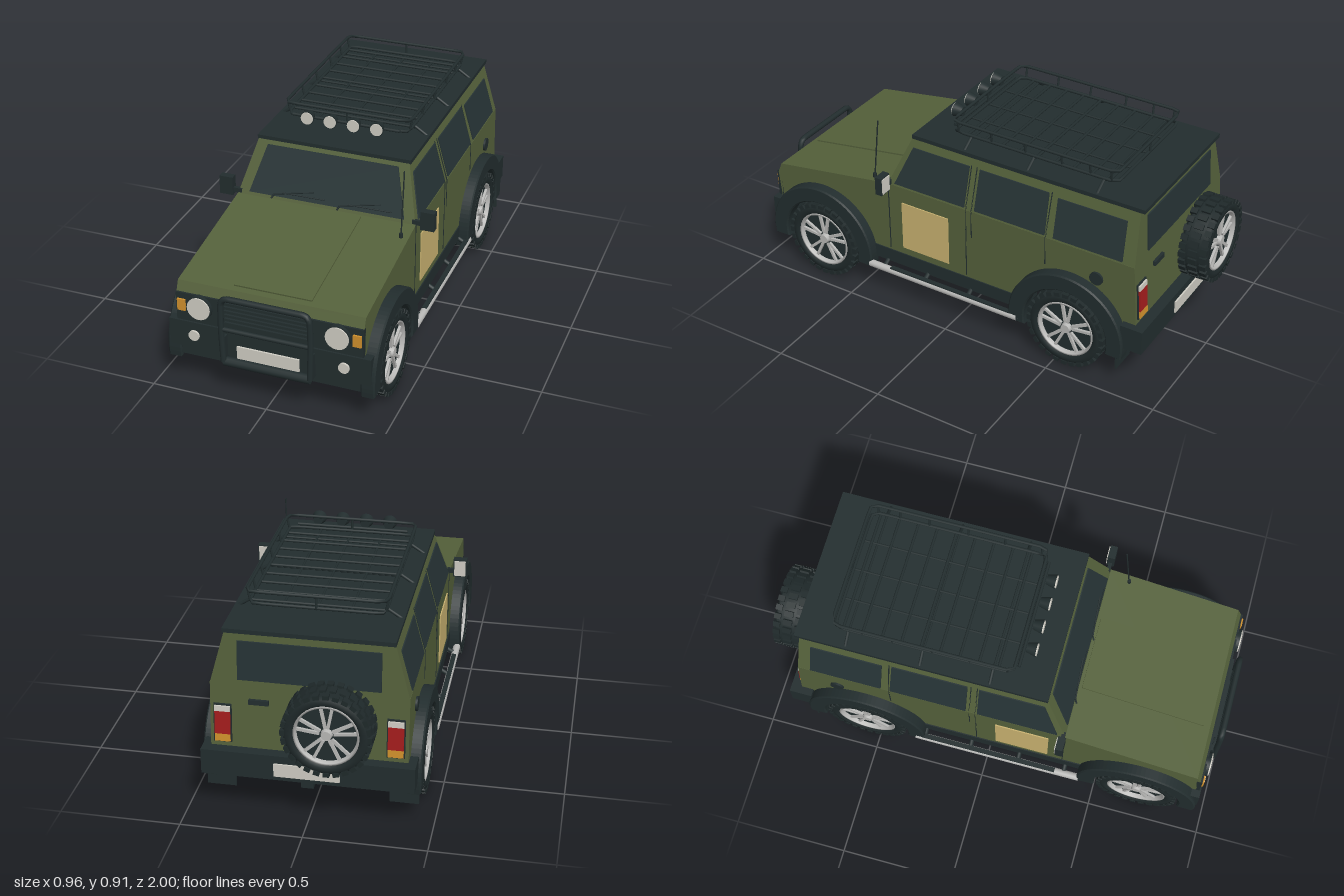
import * as THREE from 'three';
import { ConvexGeometry } from 'three/addons/geometries/ConvexGeometry.js';

const mat = (name, color, side = THREE.FrontSide) => {
  const m = new THREE.MeshStandardMaterial({ color, side });
  m.name = name;
  return m;
};
const V = (x, y, z) => new THREE.Vector3(x, y, z);

export function createModel() {
  const green = mat('olive paint', 0x55613b), dark = mat('dark trim', 0x222d2e);
  const glass = mat('tinted glass', 0x263335), tan = mat('tan panel', 0xc9b270);
  const white = mat('lamp white', 0xcfccc3), silver = mat('silver metal', 0xb8b8b6);
  const orange = mat('indicator orange', 0xd0902c), red = mat('tail light red', 0xa31c1c);
  const rubber = mat('tyre rubber', 0x1f292a);

  const model = new THREE.Group();
  model.name = 'offRoadCar';
  const add = (name, geo, m, parent = model) => {
    const mesh = new THREE.Mesh(geo, m);
    mesh.name = name;
    parent.add(mesh);
    return mesh;
  };
  // box given by its lower and upper limits
  const box = (name, m, x0, x1, y0, y1, z0, z1, parent) =>
    add(name, new THREE.BoxGeometry(x1 - x0, y1 - y0, z1 - z0)
      .translate((x0 + x1) / 2, (y0 + y1) / 2, (z0 + z1) / 2), m, parent);
  // round bar between two points
  const rod = (name, m, a, b, r, parent, seg = 8) => {
    const mesh = add(name, new THREE.CylinderGeometry(r, r, a.distanceTo(b), seg), m, parent);
    mesh.position.copy(a).add(b).multiplyScalar(0.5);
    mesh.quaternion.setFromUnitVectors(V(0, 1, 0), b.clone().sub(a).normalize());
    return mesh;
  };
  const tube = (name, m, pts, r, closed = false) =>
    add(name, new THREE.TubeGeometry(new THREE.CatmullRomCurve3(pts, closed, 'catmullrom', 0.15), 64, r, 8, closed), m);
  // disc or drum facing +z
  const drum = (name, m, x, y, z, r, depth, parent) =>
    add(name, new THREE.CylinderGeometry(r, r, depth, 28).rotateX(Math.PI / 2).translate(x, y, z), m, parent);
  const poly = pts => new THREE.Shape(pts.map(p => new THREE.Vector2(p[0], p[1])));
  const slab = (pts, t) => new THREE.ExtrudeGeometry(poly(pts), { depth: t, bevelEnabled: false });
  const shift = (geo, f) => {
    const p = geo.attributes.position;
    for (let i = 0; i < p.count; i++) {
      const [dx, dz] = f(p.getY(i));
      p.setX(i, p.getX(i) + dx);
      p.setZ(i, p.getZ(i) + dz);
    }
    geo.computeVertexNormals();
    return geo;
  };

  // surface rules of the cabin walls
  const sideX = y => 0.397 - Math.max(0, y - 0.58) * 0.276;
  const frontZ = y => 0.345 - (y - 0.58) * 0.422;
  const backZ = y => -0.858 + (y - 0.24) * 0.067;
  const sidePanel = (name, m, pts, s, t = 0.005) => add(name,
    shift(slab(pts.map(([z, y]) => [-s * z, y]), t).rotateY(s * Math.PI / 2), y => [s * sideX(y), 0]), m);
  const frontPanel = (name, m, pts, t = 0.005) => add(name, shift(slab(pts, t), y => [0, frontZ(y)]), m);
  const backPanel = (name, m, x0, x1, y0, y1, t = 0.006) => add(name,
    shift(slab([[x0, y0], [x1, y0], [x1, y1], [x0, y1]].map(([x, y]) => [-x, y]), t).rotateY(Math.PI),
      y => [0, backZ(y)]), m);

  // lower body with wheel arches cut out
  const wheelY = 0.185, wheelZ = [0.69, -0.55], a = Math.asin(0.055 / 0.22);
  const prof = poly([[0.93, 0.24], [0.948, 0.44], [0.928, 0.488], [0.345, 0.58], [-0.835, 0.58], [-0.858, 0.24]]);
  prof.absarc(wheelZ[1], wheelY, 0.22, Math.PI - a, a, true);
  prof.absarc(wheelZ[0], wheelY, 0.22, Math.PI - a, a, true);
  add('lowerBody', new THREE.ExtrudeGeometry(prof, { depth: 0.794, bevelEnabled: false, curveSegments: 20 })
    .rotateY(-Math.PI / 2).translate(0.397, 0, 0), green);
  box('floor', green, -0.29, 0.29, 0.235, 0.42, -0.84, 0.9);

  // cabin, roof and bonnet
  const cabin = [];
  for (const s of [-1, 1]) for (const y of [0.575, 0.805])
    cabin.push(V(s * sideX(y), y, frontZ(y)), V(s * sideX(y), y, backZ(y)));
  add('cabin', new ConvexGeometry(cabin), green);
  box('roof', dark, -0.34, 0.34, 0.803, 0.821, -0.84, 0.25);
  const bonnet = box('bonnetPanel', green, -0.165, 0.165, -0.004, 0.006, -0.28, 0.27);
  bonnet.position.set(0, 0.535, 0.635);
  bonnet.rotation.x = 0.157;
  frontPanel('windscreen', glass, [[-0.345, 0.595], [0.345, 0.595], [0.29, 0.788], [-0.29, 0.788]]);
  for (const x of [-0.24, 0.055]) {
    const w = (dx, y) => V(x + dx, y, frontZ(y) + 0.012);
    rod('wiperArm', dark, w(0, 0.588), w(0.01, 0.606), 0.004);
    rod('wiperArm', dark, w(0.01, 0.606), w(0.185, 0.638), 0.003);
    rod('wiperBlade', dark, w(0.045, 0.616), w(0.235, 0.617), 0.003);
  }
  rod('antennaBase', dark, V(0.365, 0.565, 0.435), V(0.365, 0.585, 0.435), 0.008);
  rod('antenna', dark, V(0.365, 0.57, 0.435), V(0.365, 0.853, 0.405), 0.003);

  // wheel with its axle along x, outer face towards +x
  const makeWheel = name => {
    const g = new THREE.Group();
    g.name = name;
    const lathe = pts => new THREE.LatheGeometry(pts.map(p => new THREE.Vector2(p[0], p[1])), 40).rotateZ(-Math.PI / 2);
    add('tyre', lathe([[0.125, -0.05], [0.14, -0.062], [0.16, -0.06], [0.17, -0.048], [0.171, 0.048],
      [0.16, 0.06], [0.14, 0.062], [0.127, 0.05]]), rubber, g);
    for (let i = 0; i < 28; i++) for (const [x, w, o] of [[-0.047, 0.03, 0], [0, 0.04, 0.5], [0.047, 0.03, 0]]) {
      const lug = add('treadLug', new THREE.BoxGeometry(w, 0.018, 0.025).translate(0, 0.171, 0), rubber, g);
      lug.position.x = x;
      lug.rotation.x = (i + o) * Math.PI / 14;
    }
    add('rimDisc', new THREE.CylinderGeometry(0.127, 0.127, 0.07, 36).rotateZ(Math.PI / 2), dark, g);
    add('rimLip', lathe([[0.127, 0.03], [0.13, 0.055], [0.122, 0.055], [0.118, 0.036]]), silver, g);
    add('hub', new THREE.CylinderGeometry(0.02, 0.024, 0.02, 16).rotateZ(-Math.PI / 2).translate(0.045, 0, 0), silver, g);
    for (let i = 0; i < 5; i++) for (const s of [-1, 1]) {
      const spoke = add('spoke', new THREE.BoxGeometry(0.012, 0.09, 0.012).translate(0.04, 0.073, 0), silver, g);
      spoke.rotation.x = i * Math.PI * 0.4 + s * 0.19;
    }
    model.add(g);
    return g;
  };

  // parts that repeat on both sides
  for (const s of [-1, 1]) {
    const mbox = (name, m, x0, x1, ...r) => box(name, m, Math.min(s * x0, s * x1), Math.max(s * x0, s * x1), ...r);
    for (const z of wheelZ) {
      const w = makeWheel(z > 0 ? 'frontWheel' : 'rearWheel');
      w.position.set(s * 0.378, wheelY, z);
      if (s < 0) w.rotation.y = Math.PI;
      const arch = new THREE.Shape();
      arch.absarc(0, 0, 0.263, -0.16, Math.PI + 0.16, false);
      arch.absarc(0, 0, 0.2, Math.PI + 0.2, -0.2, true);
      add('wheelFlare', new THREE.ExtrudeGeometry(arch, {
        depth: 0.048, bevelEnabled: true, bevelSize: 0.006, bevelThickness: 0.006, bevelSegments: 1, curveSegments: 24,
      }).rotateY(Math.PI / 2).translate(s > 0 ? 0.39 : -0.438, wheelY, z), dark);
    }
    sidePanel('frontWindow', glass, [[0.31, 0.59], [-0.04, 0.59], [-0.04, 0.765], [0.24, 0.765]], s);
    sidePanel('rearDoorWindow', glass, [[-0.09, 0.59], [-0.425, 0.59], [-0.418, 0.765], [-0.09, 0.765]], s);
    sidePanel('quarterWindow', glass, [[-0.465, 0.59], [-0.78, 0.59], [-0.772, 0.755], [-0.46, 0.755]], s);
    sidePanel('doorPanel', tan, [[0.275, 0.275], [0.04, 0.275], [0.04, 0.505], [0.275, 0.505]], s);
    for (const [z, y0, y1] of [[0.343, 0.25, 0.58], [-0.048, 0.25, 0.77], [-0.43, 0.45, 0.77], [-0.075, 0.45, 0.77]]) {
      const h = 0.002, seam = [[z + h, y0], [z + h, 0.58], [z + h, y1], [z - h, y1], [z - h, 0.58], [z - h, y0]];
      sidePanel('doorSeam', dark, y1 === 0.58 ? [seam[0], seam[1], seam[4], seam[5]] : seam, s, 0.002);
    }
    add('fuelCap', new THREE.CylinderGeometry(0.03, 0.03, 0.012, 20).rotateZ(Math.PI / 2)
      .translate(s * 0.4, 0.47, -0.67), dark);
    mbox('sill', dark, 0.3, 0.402, 0.178, 0.24, -0.34, 0.48);

    // side step
    rod('stepBar', silver, V(s * 0.435, 0.157, 0.43), V(s * 0.435, 0.157, -0.32), 0.016, model, 14);
    rod('stepEnd', dark, V(s * 0.435, 0.157, -0.32), V(s * 0.4, 0.157, -0.36), 0.014);
    mbox('stepPad', dark, 0.425, 0.445, 0.168, 0.175, -0.29, 0.32);
    for (const z of [0.36, 0.15, -0.07, -0.28])
      rod('stepBracket', dark, V(s * 0.435, 0.157, z), V(s * 0.36, 0.2, z), 0.01);

    // door mirror
    mbox('mirror', dark, 0.418, 0.478, 0.567, 0.65, 0.32, 0.352);
    mbox('mirrorGlass', white, 0.423, 0.473, 0.573, 0.644, 0.316, 0.321);
    mbox('mirrorArm', dark, 0.38, 0.42, 0.58, 0.6, 0.328, 0.344);

    // front lamps
    drum('headlampRing', dark, s * 0.293, 0.395, 0.957, 0.054, 0.02);
    drum('headlamp', white, s * 0.293, 0.395, 0.965, 0.049, 0.016);
    mbox('indicator', orange, 0.355, 0.39, 0.367, 0.419, 0.95, 0.962);
    drum('fogLamp', white, s * 0.32, 0.262, 0.965, 0.023, 0.012);

    // tail lamps
    const [t0, t1] = s > 0 ? [0.315, 0.378] : [-0.378, -0.315];
    backPanel('tailLampHousing', dark, t0 - 0.005, t1 + 0.005, 0.325, 0.49);
    backPanel('tailLampOrange', orange, t0, t1, 0.33, 0.362, 0.013);
    backPanel('tailLampRed', red, t0, t1, 0.362, 0.46, 0.013);
    backPanel('tailLampWhite', white, t0, t1, 0.46, 0.483, 0.013);
    mbox('mudFlap', dark, 0.315, 0.435, 0.08, 0.2, -0.795, -0.787);
    mbox('chassisRail', dark, 0.15, 0.2, 0.185, 0.236, -0.82, 0.88);
  }

  // front end
  box('grillePanel', dark, -0.397, 0.397, 0.31, 0.446, 0.93, 0.954);
  for (let i = 0; i < 6; i++) box('grilleSlat', dark, -0.185, 0.185, 0.345 + i * 0.018, 0.355 + i * 0.018, 0.95, 0.964);
  box('frontBumper', dark, -0.43, 0.43, 0.2, 0.32, 0.895, 0.962);
  box('frontBumperLower', dark, -0.43, 0.43, 0.155, 0.2, 0.905, 0.95);
  box('frontPlate', white, -0.133, 0.133, 0.197, 0.255, 0.962, 0.97);
  tube('bullBar', dark, [V(-0.185, 0.185, 0.985), V(-0.19, 0.33, 0.985), V(-0.188, 0.45, 0.985), V(-0.178, 0.472, 0.985),
    V(-0.155, 0.48, 0.985), V(0.155, 0.48, 0.985), V(0.178, 0.472, 0.985), V(0.188, 0.45, 0.985),
    V(0.19, 0.33, 0.985), V(0.185, 0.185, 0.985)], 0.013);
  rod('bullBarCross', dark, V(-0.188, 0.337, 0.985), V(0.188, 0.337, 0.985), 0.01);
  rod('bullBarLower', dark, V(-0.185, 0.18, 0.975), V(0.185, 0.18, 0.975), 0.02, model, 12);
  for (const x of [-0.187, 0.187]) box('bullBarMount', dark, x - 0.012, x + 0.012, 0.19, 0.3, 0.95, 0.985);

  // rear end
  backPanel('rearWindow', glass, -0.285, 0.285, 0.6, 0.765);
  backPanel('tailgateHandle', dark, 0.16, 0.24, 0.5, 0.52, 0.012);
  box('rearBumper', dark, -0.43, 0.43, 0.195, 0.305, -0.9, -0.8);
  box('rearPlate', white, -0.133, 0.133, 0.215, 0.272, -0.907, -0.899);
  box('towHitch', dark, -0.025, 0.025, 0.165, 0.19, -0.89, -0.78);
  const spare = makeWheel('spareWheel');
  spare.position.set(-0.097, 0.475, -0.937);
  spare.rotation.y = Math.PI / 2;
  box('spareCarrier', dark, -0.15, -0.04, 0.42, 0.53, -0.9, -0.84);

  // roof rack
  const loop = (w, y, z0, z1, c = 0.03) => [[w, z0 + c], [w, z1 - c], [w - c * 0.3, z1 - c * 0.3], [w - c, z1],
    [c - w, z1], [c * 0.3 - w, z1 - c * 0.3], [-w, z1 - c], [-w, z0 + c], [c * 0.3 - w, z0 + c * 0.3], [c - w, z0],
    [w - c, z0], [w - c * 0.3, z0 + c * 0.3]].map(([x, z]) => V(x, y, z));
  tube('rackTopRail', dark, loop(0.28, 0.911, -0.685, 0.088), 0.007, true);
  tube('rackBaseRail', dark, loop(0.27, 0.859, -0.68, 0.083), 0.007, true);
  for (let i = 0; i < 9; i++) rod('rackSlat', dark, V(-0.27, 0.856, 0.02 - i * 0.083), V(0.27, 0.856, 0.02 - i * 0.083), 0.006);
  for (const x of [-0.135, 0, 0.135]) rod('rackRunner', dark, V(x, 0.852, -0.68), V(x, 0.852, 0.083), 0.005);
  for (const s of [-1, 1]) {
    for (const z of [0.06, -0.1, -0.26, -0.43, -0.56, -0.655])
      rod('rackPost', dark, V(s * 0.27, 0.859, z), V(s * 0.28, 0.911, z), 0.005);
    for (const z of [0, -0.3, -0.62]) {
      rod('rackLeg', dark, V(s * 0.27, 0.853, z), V(s * 0.328, 0.815, z), 0.007);
      rod('rackLegBar', dark, V(0, 0.845, z), V(s * 0.282, 0.845, z), 0.005);
    }
  }
  for (const z of [-0.685, 0.088]) rod('rackEndPost', dark, V(0, 0.859, z), V(0, 0.911, z), 0.005);
  rod('lampBar', dark, V(-0.24, 0.866, 0.1), V(0.24, 0.866, 0.1), 0.007);
  for (const x of [-0.155, -0.052, 0.052, 0.155]) {
    add('roofLampBody', new THREE.CylinderGeometry(0.031, 0.02, 0.04, 24).rotateX(Math.PI / 2).translate(x, 0.883, 0.132), dark);
    drum('roofLampLens', white, x, 0.883, 0.154, 0.027, 0.006);
  }

  // underside
  for (const z of wheelZ) rod('axle', dark, V(-0.36, wheelY, z), V(0.36, wheelY, z), 0.022, model, 12);
  add('frontDifferential', new THREE.SphereGeometry(0.05, 16, 12).translate(-0.115, 0.182, 0.69), dark);
  add('rearDifferential', new THREE.SphereGeometry(0.05, 16, 12).translate(-0.05, 0.185, -0.55), dark);
  box('differentialGuard', dark, 0, 0.09, 0.122, 0.2, 0.58, 0.68);
  box('transferCase', dark, -0.14, 0.14, 0.185, 0.24, -0.15, 0.2);
  for (const z of [0.8, 0.45, -0.35, -0.75]) box('crossMember', dark, -0.17, 0.17, 0.2, 0.235, z - 0.025, z + 0.025);
  rod('frontDriveShaft', dark, V(-0.115, 0.185, 0.69), V(-0.05, 0.2, 0.1), 0.014);
  rod('rearDriveShaft', dark, V(-0.05, 0.185, -0.55), V(0, 0.2, -0.1), 0.014);
  rod('muffler', dark, V(0.24, 0.2, -0.05), V(0.24, 0.2, -0.28), 0.035, model, 16);
  rod('exhaustPipe', dark, V(0.24, 0.2, 0.4), V(0.24, 0.2, -0.86), 0.012);

  return model;
}
